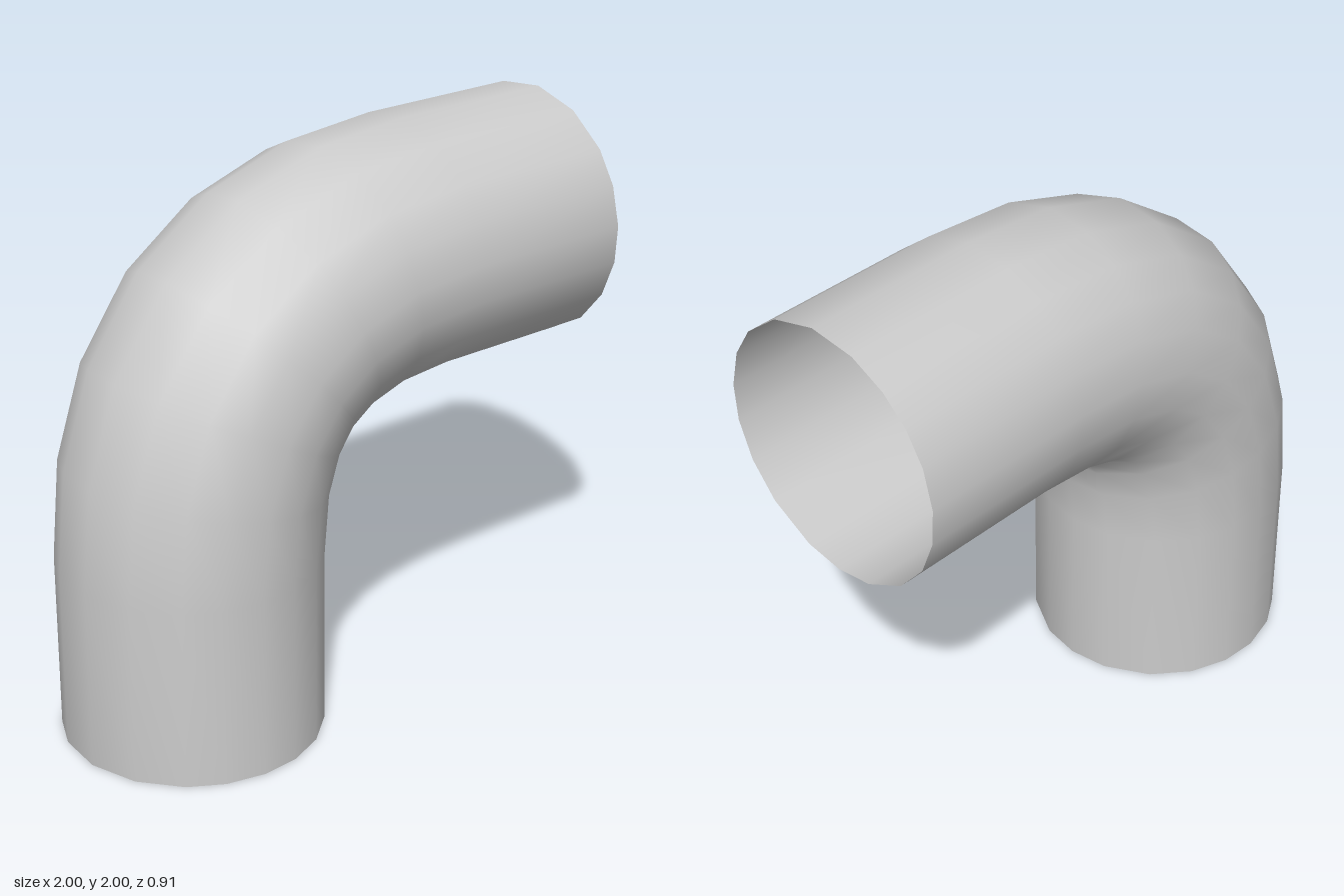
import * as THREE from 'three';

const RADIUS = 0.457;
const BEND = 0.9;      // length of each bend leg to the corner
const SEGMENTS = 6;    // steps around the bend

// Slightly uneven sides of the pipe, in degrees from the outside of the bend towards +z
const ANGLES = [5, 28, 50, 67, 85, 102, 120, 139, 162, 180, 198, 220, 240, 258, 275, 293, 309, 325, 343];

// Sweeps the ring of angles along stations that each have a centre and a tangent in the xy plane
function sweepPipe(stations) {
  const positions = [], index = [], n = ANGLES.length;
  stations.forEach(({ p, t }, i) => {
    ANGLES.forEach((deg, j) => {
      const a = THREE.MathUtils.degToRad(deg);
      const out = Math.cos(a) * RADIUS;
      positions.push(p.x - t.y * out, p.y + t.x * out, Math.sin(a) * RADIUS);
      if (i === stations.length - 1) return;
      const k = (j + 1) % n, r = i * n, s = r + n;
      index.push(r + j, r + k, s + j, r + k, s + k, s + j);
    });
  });
  const geometry = new THREE.BufferGeometry();
  geometry.setAttribute('position', new THREE.Float32BufferAttribute(positions, 3));
  geometry.setIndex(index);
  geometry.computeVertexNormals();
  return geometry;
}

export function createModel() {
  const group = new THREE.Group();
  group.name = 'pipeElbow';

  // Centre line: straight riser, curved bend, straight outlet
  const cx = -1 + RADIUS, cy = 2 - RADIUS;
  const bend = new THREE.QuadraticBezierCurve(
    new THREE.Vector2(cx, cy - BEND),
    new THREE.Vector2(cx, cy),
    new THREE.Vector2(cx + BEND, cy)
  );
  const stations = [{ p: new THREE.Vector2(cx, 0), t: new THREE.Vector2(0, 1) }];
  for (let i = 0; i <= SEGMENTS; i++) {
    const u = i / SEGMENTS;
    stations.push({ p: bend.getPoint(u), t: new THREE.Vector2(u, 1 - u).normalize() });
  }
  stations.push({ p: new THREE.Vector2(1, cy), t: new THREE.Vector2(1, 0) });

  // Thin open pipe, visible inside and out
  const material = new THREE.MeshStandardMaterial({ color: 0xcccccc, side: THREE.DoubleSide });
  const pipe = new THREE.Mesh(sweepPipe(stations), material);
  pipe.name = 'bentPipe';
  group.add(pipe);
  return group;
}
